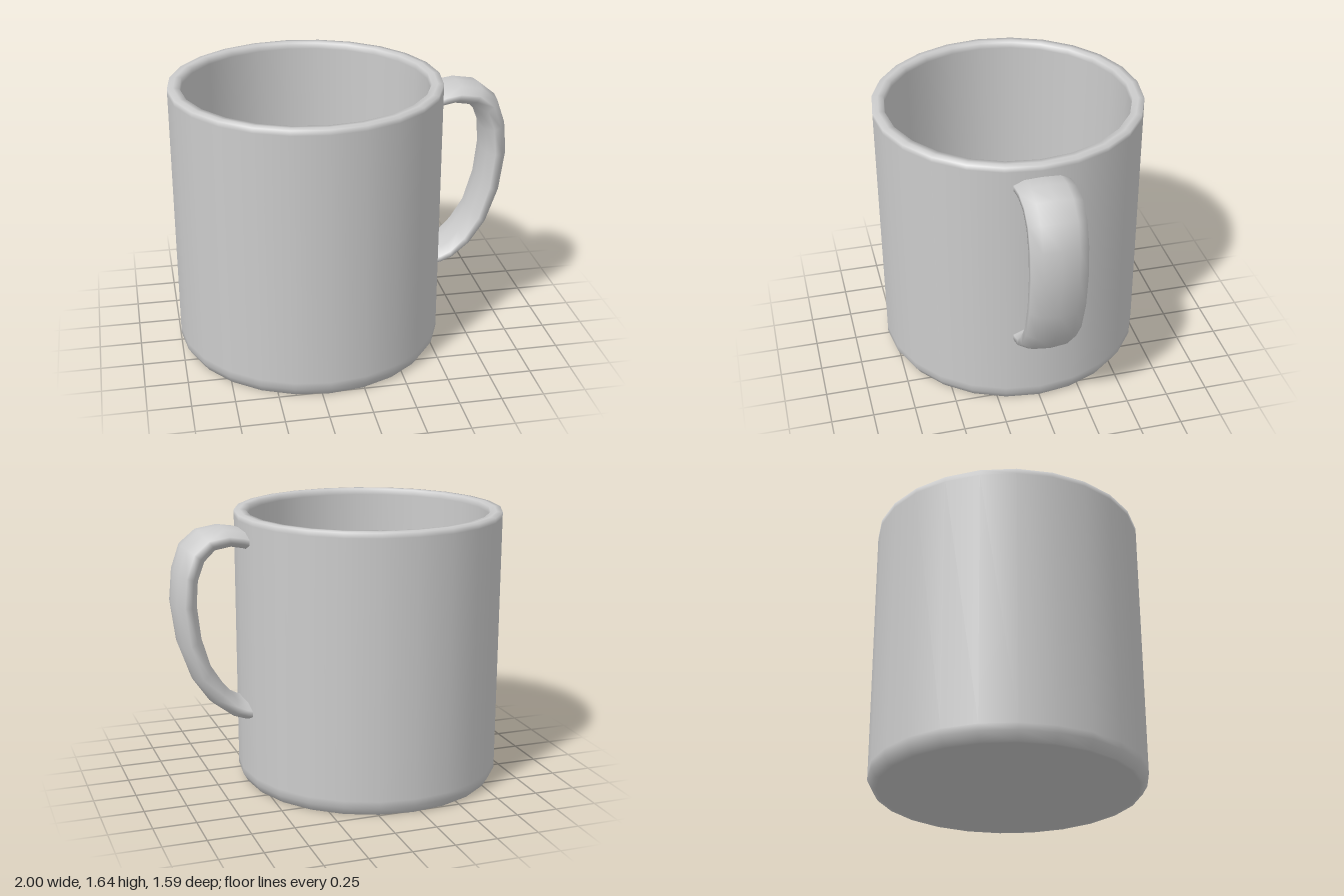
import * as THREE from 'three';

const material = new THREE.MeshStandardMaterial({ color: 0xcccccc, side: THREE.DoubleSide });

// Cup: one closed lathe profile, extra loops keep the bevels tight
function makeBody() {
  const profile = [
    [0, 0], [0.745, 0], [0.765, 0], [0.795, 0.05], [0.795, 0.09],
    [0.795, 1.605], [0.795, 1.635], [0.76, 1.638], [0.725, 1.635], [0.722, 1.6],
    [0.72, 0.11], [0.718, 0.09], [0.69, 0.09], [0, 0.09],
  ].map(([r, y]) => new THREE.Vector2(r, y));
  const body = new THREE.Mesh(new THREE.LatheGeometry(profile, 24), material);
  body.name = 'cupBody';
  body.position.x = -0.205;
  return body;
}

// Handle: flattened ten-sided section lofted between an outer and an inner curve
function makeHandle() {
  // each station: outer x, y, inner x, y
  const stations = [
    [0.54, 1.55, 0.54, 1.44], [0.6, 1.57, 0.595, 1.457], [0.7, 1.585, 0.66, 1.47],
    [0.83, 1.565, 0.75, 1.455], [0.93, 1.485, 0.81, 1.395], [0.98, 1.34, 0.85, 1.29],
    [0.998, 1.15, 0.86, 1.15], [0.965, 0.9, 0.84, 0.96], [0.89, 0.69, 0.785, 0.77],
    [0.79, 0.545, 0.71, 0.65], [0.67, 0.455, 0.645, 0.575], [0.595, 0.43, 0.595, 0.547],
    [0.54, 0.42, 0.54, 0.53],
  ];
  // section: z, and position from inner (-1) to outer (1)
  const half = [[0, 1], [0.1, 0.85], [0.16, 0.3], [0.16, -0.3], [0.1, -0.85]];
  const section = [...half, ...half.map(([z, u]) => [-z, -u])];
  const n = section.length;
  const positions = [], index = [];
  stations.forEach(([ox, oy, ix, iy], i) => {
    section.forEach(([z, u], j) => {
      const t = (u + 1) / 2;
      positions.push(ix + (ox - ix) * t, iy + (oy - iy) * t, z);
      if (i === stations.length - 1) return;
      const a = i * n + j, b = i * n + (j + 1) % n;
      index.push(a, b, a + n, b, b + n, a + n);
    });
  });
  const geometry = new THREE.BufferGeometry();
  geometry.setAttribute('position', new THREE.Float32BufferAttribute(positions, 3));
  geometry.setIndex(index);
  geometry.computeVertexNormals();
  const handle = new THREE.Mesh(geometry, material);
  handle.name = 'handle';
  return handle;
}

export function createModel() {
  const mug = new THREE.Group();
  mug.name = 'mug';
  mug.add(makeBody(), makeHandle());
  return mug;
}
